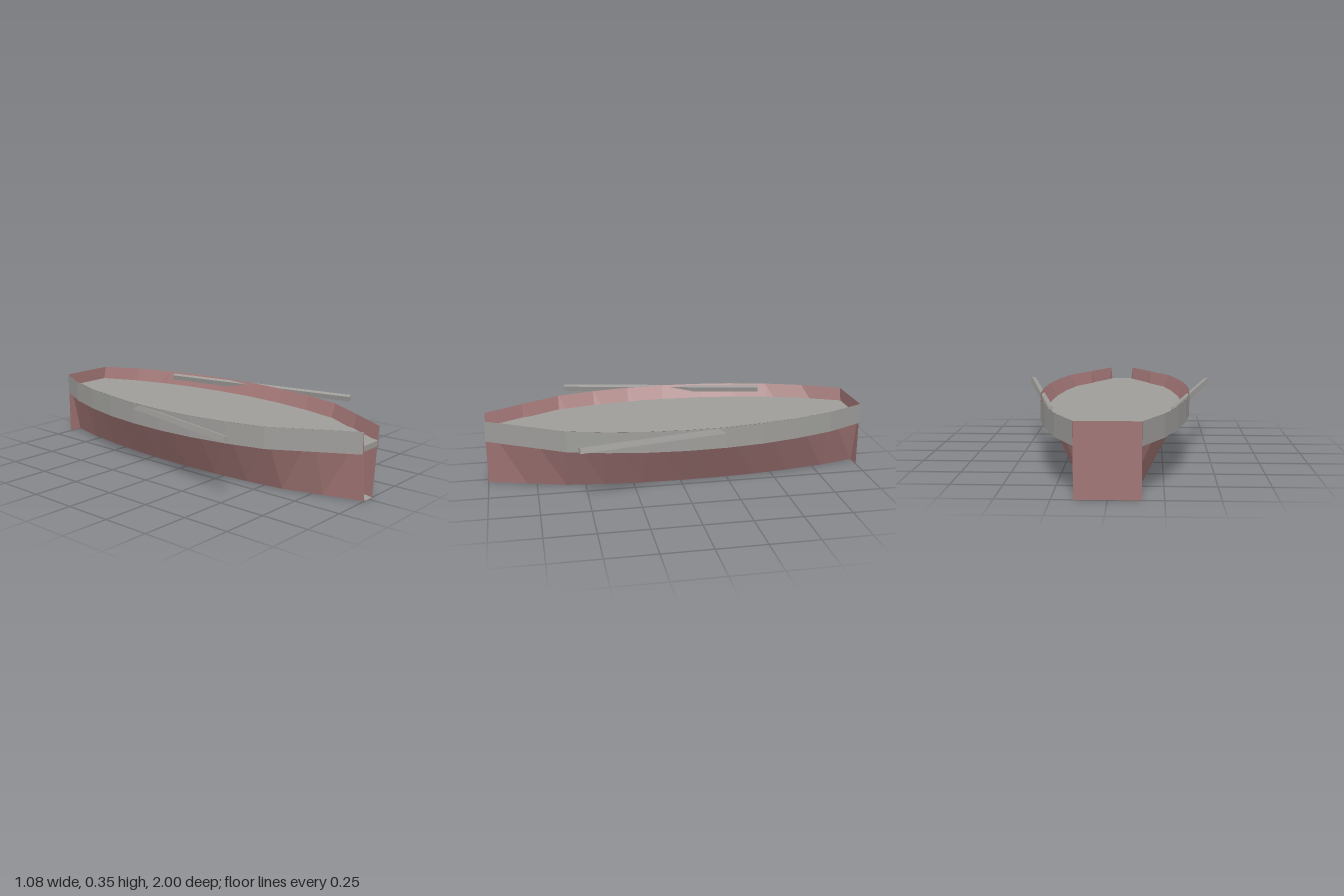
import * as THREE from 'three';

const H = 0.35; // height of the rim
// half width of the rim at stations from stern (z = -1) to bow (z = 1)
const HALF = [0.15, 0.25, 0.315, 0.36, 0.385, 0.392, 0.38, 0.35, 0.3, 0.185, 0.07];
const zAt = (i) => -1 + (2 * i) / (HALF.length - 1);
// the hull flares from half width at the keel to full width at the rim
const flare = (y) => 0.5 + (0.5 * y) / H;

// flat-faced strip between two outlines, on side s (+1 left, -1 right)
function strip(s, yLow, kLow, yHigh, kHigh) {
  const pos = [];
  for (let i = 0; i < HALF.length - 1; i++) {
    const low = (j) => [s * HALF[j] * kLow, yLow, zAt(j)];
    const high = (j) => [s * HALF[j] * kHigh, yHigh, zAt(j)];
    const tris = [[low(i), high(i + 1), low(i + 1)], [low(i), high(i), high(i + 1)]];
    for (const t of tris) pos.push(...(s > 0 ? t : t.reverse()).flat());
  }
  const geo = new THREE.BufferGeometry();
  geo.setAttribute('position', new THREE.Float32BufferAttribute(pos, 3));
  geo.computeVertexNormals();
  return geo;
}

// horizontal sheet with the boat outline scaled by k in width
function sheet(k, y) {
  const pts = [
    ...HALF.map((w, i) => new THREE.Vector2(w * k, -zAt(i))),
    ...HALF.map((w, i) => new THREE.Vector2(-w * k, -zAt(i))).reverse(),
  ];
  return new THREE.ShapeGeometry(new THREE.Shape(pts)).rotateX(-Math.PI / 2).translate(0, y, 0);
}

export function createModel() {
  const group = new THREE.Group();
  const red = new THREE.MeshStandardMaterial({ color: 0xa07474, side: THREE.DoubleSide });
  red.name = 'dusty red';
  const grey = new THREE.MeshStandardMaterial({ color: 0x9e9d9a, side: THREE.DoubleSide });
  grey.name = 'grey';
  const add = (name, geo, mat) => {
    const mesh = new THREE.Mesh(geo, mat);
    mesh.name = name;
    group.add(mesh);
    return mesh;
  };

  // floor and deck
  add('floor', sheet(flare(0), 0), grey);
  add('deck', sheet(flare(0.28), 0.28), grey);

  // thin front edge of the deck in the open bow
  const bowEdge = new THREE.BoxGeometry(0.12, 0.028, 0.008);
  add('deckFrontEdge', bowEdge.translate(0, 0.265, 0.995), grey);

  // square stern board
  add('transom', new THREE.PlaneGeometry(0.3, H).rotateY(Math.PI).translate(0, H / 2, -1), red);

  // benches just below the deck, ends just through the hull
  for (const [z, name] of [[0.26, 'frontBench'], [-0.33, 'rearBench']]) {
    add(name, new THREE.BoxGeometry(0.65, 0.024, 0.17).translate(0, 0.262, z), grey);
  }

  for (const s of [1, -1]) {
    const side = s > 0 ? 'left' : 'right';
    add(side + 'Hull', strip(s, 0, 0.5, H, 1), red);
    // upright band outside the flared hull
    add(side + 'Band', strip(s, 0.24, 1.005, H, 1.005), grey);

    // oar lying across the rim, spreading towards the bow
    const oar = add(side + 'Oar', new THREE.BoxGeometry(0.026, 0.028, 1.125), grey);
    oar.position.set(s * 0.411, 0.328, 0);
    oar.rotation.set(0, s * Math.atan2(0.225, 1.1), s * 0.25);
  }
  return group;
}
